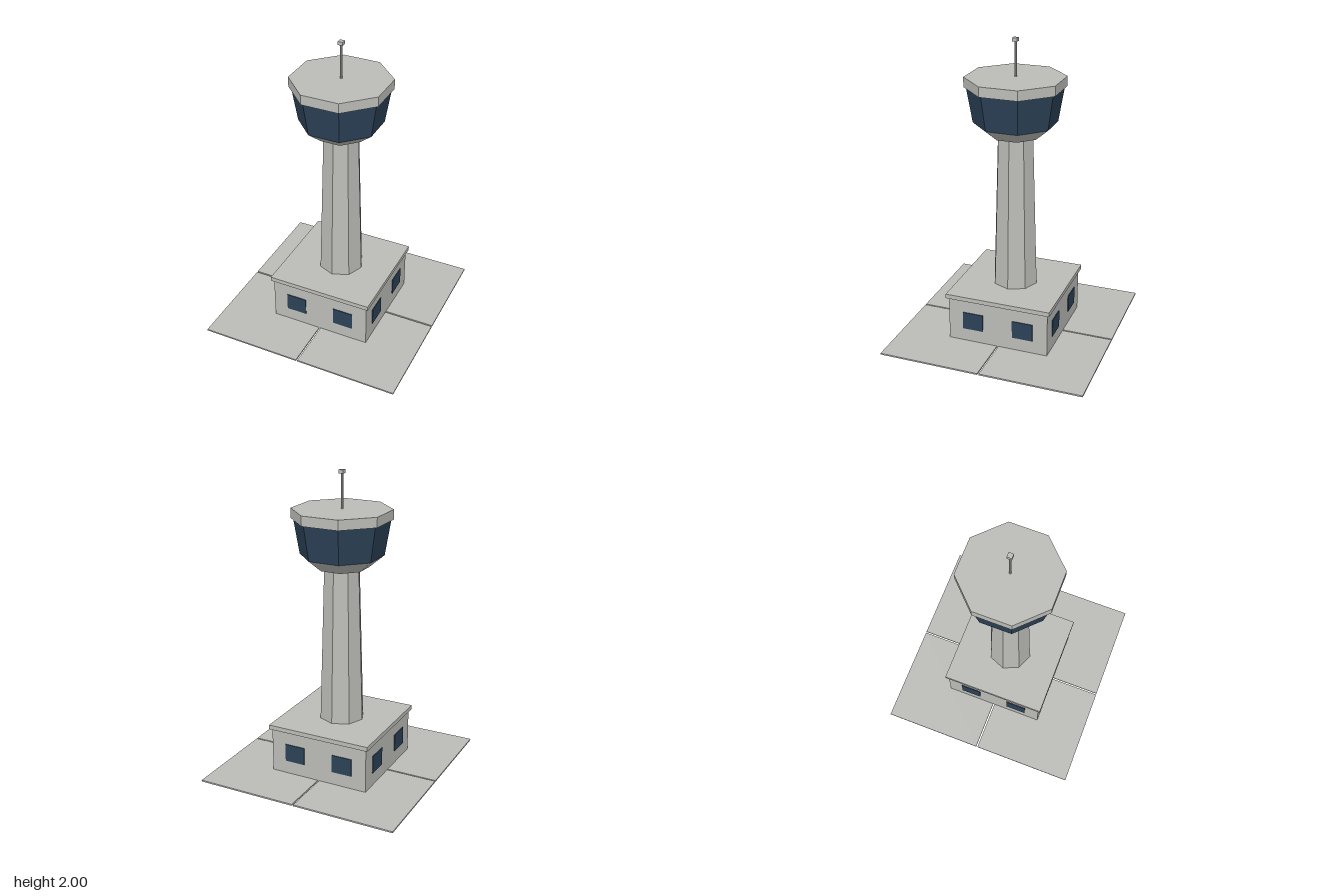
import * as THREE from 'three';

export function createModel() {
  const model = new THREE.Group();
  model.name = 'controlTower';

  const concrete = new THREE.MeshStandardMaterial({ color: 0xbcbcb8, flatShading: true });
  concrete.name = 'concrete grey';
  const glass = new THREE.MeshStandardMaterial({ color: 0x2c4258, flatShading: true });
  glass.name = 'dark blue glass';

  function add(name, geometry, material, x = 0, y = 0, z = 0, parent = model) {
    const mesh = new THREE.Mesh(geometry, material);
    mesh.name = name;
    mesh.position.set(x, y, z);
    parent.add(mesh);
    return mesh;
  }

  // Box standing between two heights
  function block(name, width, y0, y1, material) {
    return add(name, new THREE.BoxGeometry(width, y1 - y0, width), material, 0, (y0 + y1) / 2, 0);
  }

  // Eight-sided ring with a flat side to the front, sized by half its width
  function octagon(name, bottom, top, y0, y1, material) {
    const k = 1 / Math.cos(Math.PI / 8);
    const geometry = new THREE.CylinderGeometry(top * k, bottom * k, y1 - y0, 8);
    geometry.rotateY(Math.PI / 8);
    return add(name, geometry, material, 0, (y0 + y1) / 2, 0);
  }

  // Four paving slabs with narrow joints between them
  const outer = 0.685, gap = 0.005, slab = outer - gap;
  for (const sx of [-1, 1]) {
    for (const sz of [-1, 1]) {
      add('groundSlab', new THREE.BoxGeometry(slab, 0.01, slab), concrete,
        sx * (gap + slab / 2), 0.005, sz * (gap + slab / 2));
    }
  }

  // Base building and its roof slab
  block('baseBuilding', 0.684, 0, 0.31, concrete);
  block('baseRoof', 0.716, 0.31, 0.34, concrete);

  // Two windows on each wall
  for (let i = 0; i < 4; i++) {
    const wall = new THREE.Group();
    wall.name = 'wallWindows';
    wall.rotation.y = i * Math.PI / 2;
    for (const side of [-1, 1]) {
      add('window', new THREE.BoxGeometry(0.14, 0.12, 0.009), glass, side * 0.172, 0.16, 0.343, wall);
    }
    model.add(wall);
  }

  // Tapered shaft with its corners on the axes
  add('shaft', new THREE.CylinderGeometry(0.119, 0.151, 1.05, 8), concrete, 0, 0.865, 0);

  // Control cab: flared skirt with a dark underside, glazing, roof
  octagon('cabSkirt', 0.16, 0.25, 1.38, 1.46, [concrete, concrete, glass]);
  octagon('cabGlazing', 0.25, 0.286, 1.46, 1.69, glass);
  octagon('cabRoof', 0.3, 0.3, 1.69, 1.755, concrete);

  // Antenna
  add('antennaMast', new THREE.CylinderGeometry(0.008, 0.008, 0.225, 8), concrete, 0, 1.8675, 0);
  block('antennaTip', 0.032, 1.977, 2, concrete);

  return model;
}
